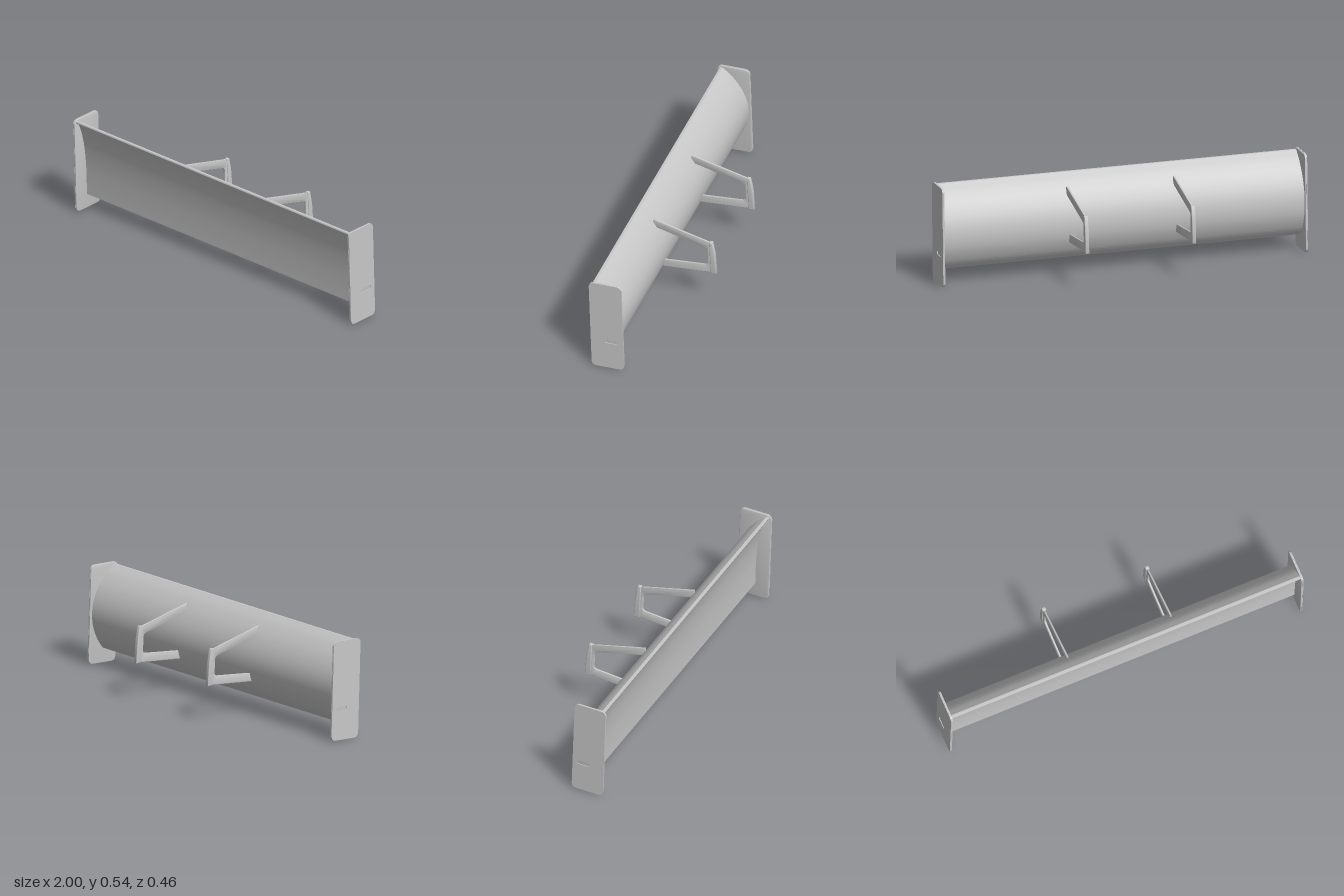
import * as THREE from 'three';
import { toCreasedNormals } from 'three/addons/utils/BufferGeometryUtils.js';

// Closed outline in (z, y) with each corner rounded by radius r
function roundedPath(path, pts, r) {
  const n = pts.length;
  const v = pts.map(p => new THREE.Vector2(p[0], p[1]));
  for (let i = 0; i < n; i++) {
    const p = v[i], prev = v[(i + n - 1) % n], next = v[(i + 1) % n];
    const rad = pts[i][2] ?? r;
    const a = prev.clone().sub(p).setLength(rad).add(p);
    const b = next.clone().sub(p).setLength(rad).add(p);
    if (i === 0) path.moveTo(a.x, a.y); else path.lineTo(a.x, a.y);
    if (rad > 0) path.quadraticCurveTo(p.x, p.y, b.x, b.y);
  }
  path.closePath();
  return path;
}

// Extrude a (z, y) outline along x, centred, optionally with softened edges
function extrudeX(shape, width, bevel = 0, bevelDepth = bevel) {
  const geo = new THREE.ExtrudeGeometry(shape, {
    depth: width - 2 * bevelDepth, curveSegments: 10,
    bevelEnabled: bevel > 0, bevelSize: bevel, bevelOffset: -bevel,
    bevelThickness: bevelDepth, bevelSegments: 3,
  });
  geo.translate(0, 0, -(width - 2 * bevelDepth) / 2);
  geo.rotateY(-Math.PI / 2);
  return toCreasedNormals(geo, 0.6);
}

export function createModel() {
  const model = new THREE.Group();
  model.name = 'wing';
  const grey = new THREE.MeshStandardMaterial({ color: 0xc8c8c8 });
  grey.name = 'grey';

  const add = (parent, name, geo, x = 0) => {
    const mesh = new THREE.Mesh(geo, grey);
    mesh.name = name;
    mesh.position.x = x;
    parent.add(mesh);
  };

  // Main blade: bulged back, gently hollow front, thin lip along the top
  const blade = new THREE.Shape();
  const spline = pts => blade.splineThru(pts.map(p => new THREE.Vector2(...p)));
  blade.moveTo(0.137, 0.085);
  spline([[0.138, 0.16], [0.143, 0.26], [0.155, 0.36], [0.173, 0.44], [0.193, 0.495], [0.203, 0.515]]);
  blade.lineTo(0.213, 0.514);
  blade.quadraticCurveTo(0.219, 0.521, 0.213, 0.527);
  blade.lineTo(0.2, 0.527);
  spline([[0.15, 0.486], [0.1, 0.424], [0.066, 0.352], [0.054, 0.28], [0.063, 0.205], [0.092, 0.135], [0.128, 0.085]]);
  blade.closePath();
  const bladeGeo = new THREE.ExtrudeGeometry(blade, { depth: 1.982, curveSegments: 36, bevelEnabled: false });
  bladeGeo.translate(0, 0, -0.991).rotateY(-Math.PI / 2);
  add(model, 'blade', toCreasedNormals(bladeGeo, 0.5));

  // End plates, each with a shallow slot in its outer face
  const corners = [[0.212, 0.002], [0.032, 0.009], [0.05, 0.542], [0.23, 0.536]];
  const plain = roundedPath(new THREE.Shape(), corners, 0.03);
  const slotted = roundedPath(new THREE.Shape(), corners, 0.03);
  const slot = [[0.138, 0.163], [0.138, 0.187], [0.066, 0.189], [0.066, 0.165]];
  slotted.holes.push(roundedPath(new THREE.Path(), slot, 0.0115));
  const innerGeo = extrudeX(plain, 0.008, 0.002);
  const outerGeo = extrudeX(slotted, 0.004);
  for (const side of [1, -1]) {
    const plate = new THREE.Group();
    plate.name = side > 0 ? 'leftEndPlate' : 'rightEndPlate';
    add(plate, 'plateBody', innerGeo, side * 0.992);
    add(plate, 'plateFace', outerGeo, side * 0.998);
    model.add(plate);
  }

  // Brackets: two slim arms joined by an upright, with a thicker rear post
  const frame = roundedPath(new THREE.Shape(), [
    [0.122, 0.474, 0], [-0.2, 0.399, 0], [-0.212, 0.208, 0], [0.122, 0.175, 0],
    [0.122, 0.221, 0], [-0.178, 0.254, 0.018], [-0.173, 0.357, 0.018], [0.122, 0.428, 0],
  ], 0);
  const post = roundedPath(new THREE.Shape(), [
    [-0.187, 0.404], [-0.197, 0.206], [-0.229, 0.206], [-0.22, 0.33, 0.02], [-0.205, 0.404],
  ], 0.003);
  const frameGeo = extrudeX(frame, 0.013, 0.009, 0.0045);
  const postGeo = extrudeX(post, 0.021, 0.004);
  for (const side of [1, -1]) {
    const bracket = new THREE.Group();
    bracket.name = side > 0 ? 'leftBracket' : 'rightBracket';
    bracket.position.x = side * 0.293;
    add(bracket, 'arms', frameGeo);
    add(bracket, 'rearPost', postGeo);
    model.add(bracket);
  }
  return model;
}
